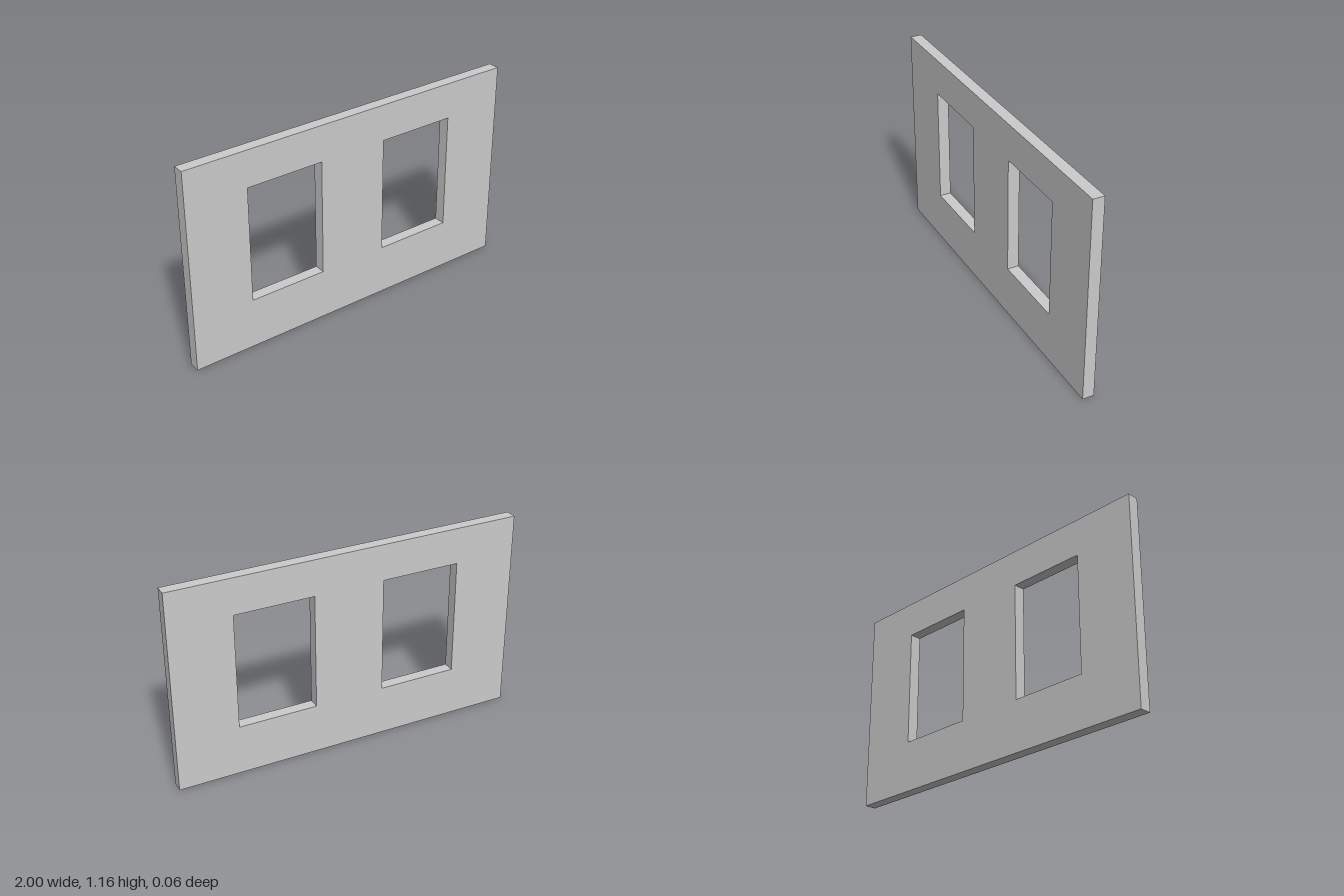
import * as THREE from 'three';

const WIDTH = 2, HEIGHT = 1.163, DEPTH = 0.065;
const WINDOW = { inner: 0.2, outer: 0.647, bottom: 0.29, top: 0.956 };

// Closed rectangular outline from two opposite corners
function rectangle(PathType, x0, y0, x1, y1) {
  return new PathType([
    new THREE.Vector2(x0, y0),
    new THREE.Vector2(x1, y0),
    new THREE.Vector2(x1, y1),
    new THREE.Vector2(x0, y1),
  ]).closePath();
}

export function createModel() {
  const group = new THREE.Group();
  group.name = 'windowWall';

  // Wall panel with two mirrored window openings
  const outline = rectangle(THREE.Shape, -WIDTH / 2, 0, WIDTH / 2, HEIGHT);
  for (const side of [-1, 1]) {
    outline.holes.push(rectangle(
      THREE.Path, side * WINDOW.inner, WINDOW.bottom, side * WINDOW.outer, WINDOW.top));
  }
  const geometry = new THREE.ExtrudeGeometry(outline, { depth: DEPTH, bevelEnabled: false });
  geometry.translate(0, 0, -DEPTH / 2);

  const wall = new THREE.Mesh(
    geometry, new THREE.MeshStandardMaterial({ color: 0xcccccc, flatShading: true }));
  wall.name = 'wallPanel';
  group.add(wall);
  return group;
}
